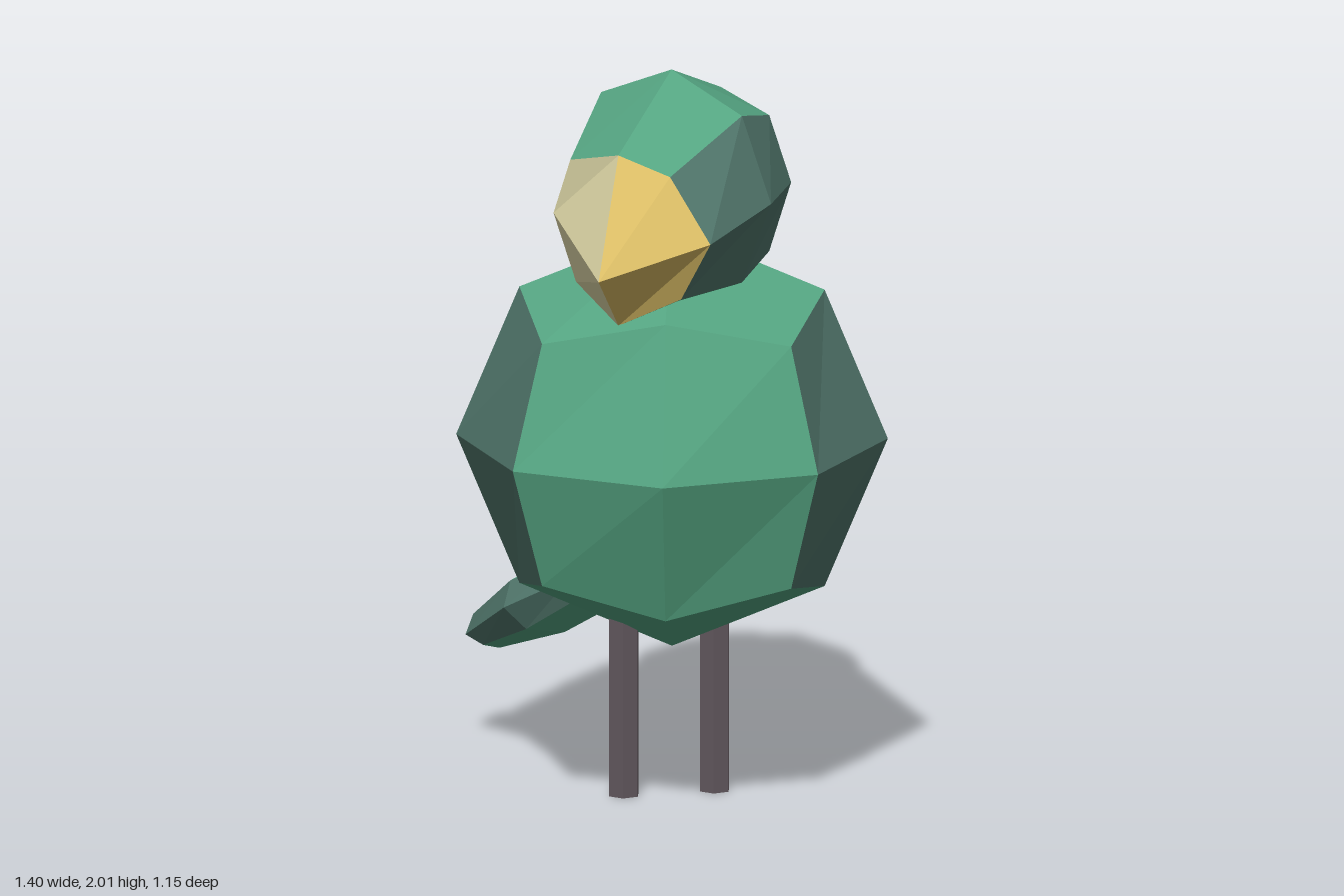
import * as THREE from 'three';

const mat = (name, color) => {
  const m = new THREE.MeshStandardMaterial({ color });
  m.name = name;
  return m;
};

// Cube with 2x2 faces; place() maps each cube point (-1, 0 or 1 per axis) to its position.
function blob(name, materials, place) {
  const box = new THREE.BoxGeometry(2, 2, 2, 2, 2, 2);
  const pos = box.attributes.position;
  const c = new THREE.Vector3();
  for (let i = 0; i < pos.count; i++) {
    c.fromBufferAttribute(pos, i).round();
    const p = place(c.clone());
    pos.setXYZ(i, p.x, p.y, p.z);
  }
  const geo = box.toNonIndexed(); // faceted normals
  geo.computeVertexNormals();
  const mesh = new THREE.Mesh(geo, materials);
  mesh.name = name;
  return mesh;
}

// Places a cube point on a sphere turned by yaw degrees
const onSphere = (c, r, yaw, centre) =>
  c.normalize().multiplyScalar(r)
    .applyAxisAngle(new THREE.Vector3(0, 1, 0), THREE.MathUtils.degToRad(yaw))
    .add(centre);

export function createModel() {
  const group = new THREE.Group();
  const green = mat('feather green', 0x55a582);
  const grey = mat('side grey green', 0x52786d);
  const gold = mat('beak gold', 0xdcbe66);
  const cream = mat('beak cream', 0xe2dbaa);
  const legBrown = mat('leg brown', 0x61575d);
  const feathers = [grey, grey, green, green, green, green];

  // Body
  const bodyCentre = new THREE.Vector3(0.12, 0.99, 0);
  group.add(blob('body', feathers, (c) => onSphere(c, 0.578, 47.5, bodyCentre)));

  // Head, with its front face pulled out into the beak (keys are cube x,y)
  const beak = {
    '-1,1': [0.09, 1.8, 0.33], '0,1': [0.29, 1.85, 0.33], '1,1': [0.41, 1.8, 0.25],
    '-1,0': [0.02, 1.64, 0.33], '0,0': [0.41, 1.55, 0.5], '1,0': [0.53, 1.63, 0.21],
    '-1,-1': [0.09, 1.46, 0.31], '0,-1': [0.29, 1.38, 0.33], '1,-1': [0.42, 1.46, 0.22],
  };
  const headCentre = new THREE.Vector3(0.13, 1.68, 0.01);
  const head = blob('headAndBeak', [...feathers, cream, gold], (c) =>
    c.z === 1
      ? new THREE.Vector3(...beak[`${c.x + 0},${c.y + 0}`])
      : onSphere(c, 0.325, 15, headCentre));
  // Beak halves: one cream, one gold
  const front = head.geometry.groups[4];
  head.geometry.groups.splice(4, 1);
  for (let i = 0; i < 4; i++) head.geometry.addGroup(front.start + i * 6, 6, 6 + (i % 2));
  group.add(head);

  // Tail: flattened and tapered, local z runs towards the tip
  const tipDir = new THREE.Vector3(-0.882, -0.471, 0);
  const upDir = new THREE.Vector3(-0.471, 0.882, 0);
  const sideDir = new THREE.Vector3(0, 0, 1);
  group.add(blob('tail', feathers, (c) => {
    const isTip = c.z === 1;
    const d = c.clone().normalize();
    const taper = isTip ? 0.78 : 1;
    const along = isTip ? (c.lengthSq() === 1 ? 0.35 : c.lengthSq() === 2 ? 0.286 : 0.25) : d.z * 0.345;
    return new THREE.Vector3(-0.39, 0.445, -0.015)
      .addScaledVector(sideDir, d.x * 0.175 * taper)
      .addScaledVector(upDir, d.y * 0.098 * taper)
      .addScaledVector(tipDir, along);
  }));

  // Legs
  const legGeo = new THREE.CylinderGeometry(0.044, 0.044, 0.6, 6).toNonIndexed();
  legGeo.computeVertexNormals();
  [['leftLeg', 0.147, -0.126], ['rightLeg', 0.033, 0.095]].forEach(([name, x, z]) => {
    const leg = new THREE.Mesh(legGeo, legBrown);
    leg.name = name;
    leg.position.set(x, 0.3, z);
    leg.rotation.y = THREE.MathUtils.degToRad(47);
    group.add(leg);
  });

  return group;
}
